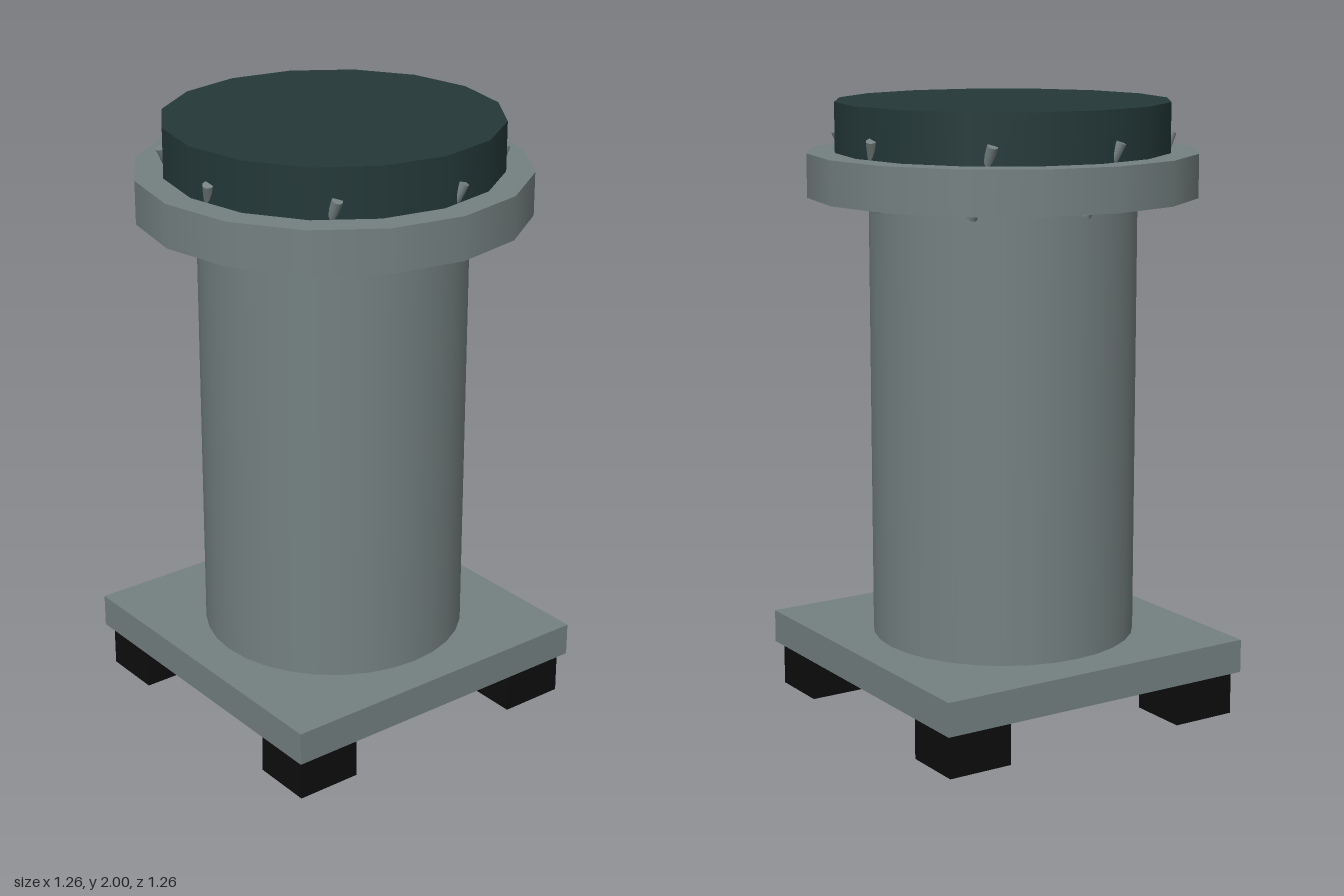
import * as THREE from 'three';

export function createModel() {
  const model = new THREE.Group();
  const steel = new THREE.MeshStandardMaterial({ name: 'grey steel', color: 0x748080 });
  const teal = new THREE.MeshStandardMaterial({ name: 'dark teal', color: 0x243838 });
  const rubber = new THREE.MeshStandardMaterial({ name: 'black rubber', color: 0x0d0d0d });

  const add = (name, geometry, material, x, y, z) => {
    const mesh = new THREE.Mesh(geometry, material);
    mesh.name = name;
    mesh.position.set(x, y, z);
    model.add(mesh);
    return mesh;
  };
  // upright round part between two heights
  const drum = (name, radius, y0, y1, sides, material) =>
    add(name, new THREE.CylinderGeometry(radius, radius, y1 - y0, sides), material, 0, (y0 + y1) / 2, 0);

  // Square base on four block feet
  add('basePlate', new THREE.BoxGeometry(1.126, 0.11, 1.126), steel, 0, 0.2, 0);
  const footGeometry = new THREE.BoxGeometry(0.207, 0.146, 0.22);
  for (const x of [-1, 1])
    for (const z of [-1, 1]) add('foot', footGeometry, rubber, x * 0.435, 0.073, z * 0.433);

  // Column, flange and cap
  drum('column', 0.432, 0.135, 1.75, 32, steel);
  drum('flange', 0.63, 1.7, 1.84, 16, steel);
  drum('cap', 0.54, 1.8, 2, 16, teal);

  // Ring of slanted bolts passing through the flange
  const bottom = new THREE.Vector3(0, 1.675, 0.46);
  const top = new THREE.Vector3(0.08, 1.9, 0.53);
  const axis = top.clone().sub(bottom);
  const boltGeometry = new THREE.CylinderGeometry(0.017, 0.017, axis.length(), 12);
  boltGeometry.applyQuaternion(
    new THREE.Quaternion().setFromUnitVectors(new THREE.Vector3(0, 1, 0), axis.clone().normalize()));
  const middle = top.clone().add(bottom).multiplyScalar(0.5);
  boltGeometry.translate(middle.x, middle.y, middle.z);
  for (let i = 0; i < 8; i++) add('bolt', boltGeometry, steel, 0, 0, 0).rotation.y = (i * Math.PI) / 4;

  return model;
}
